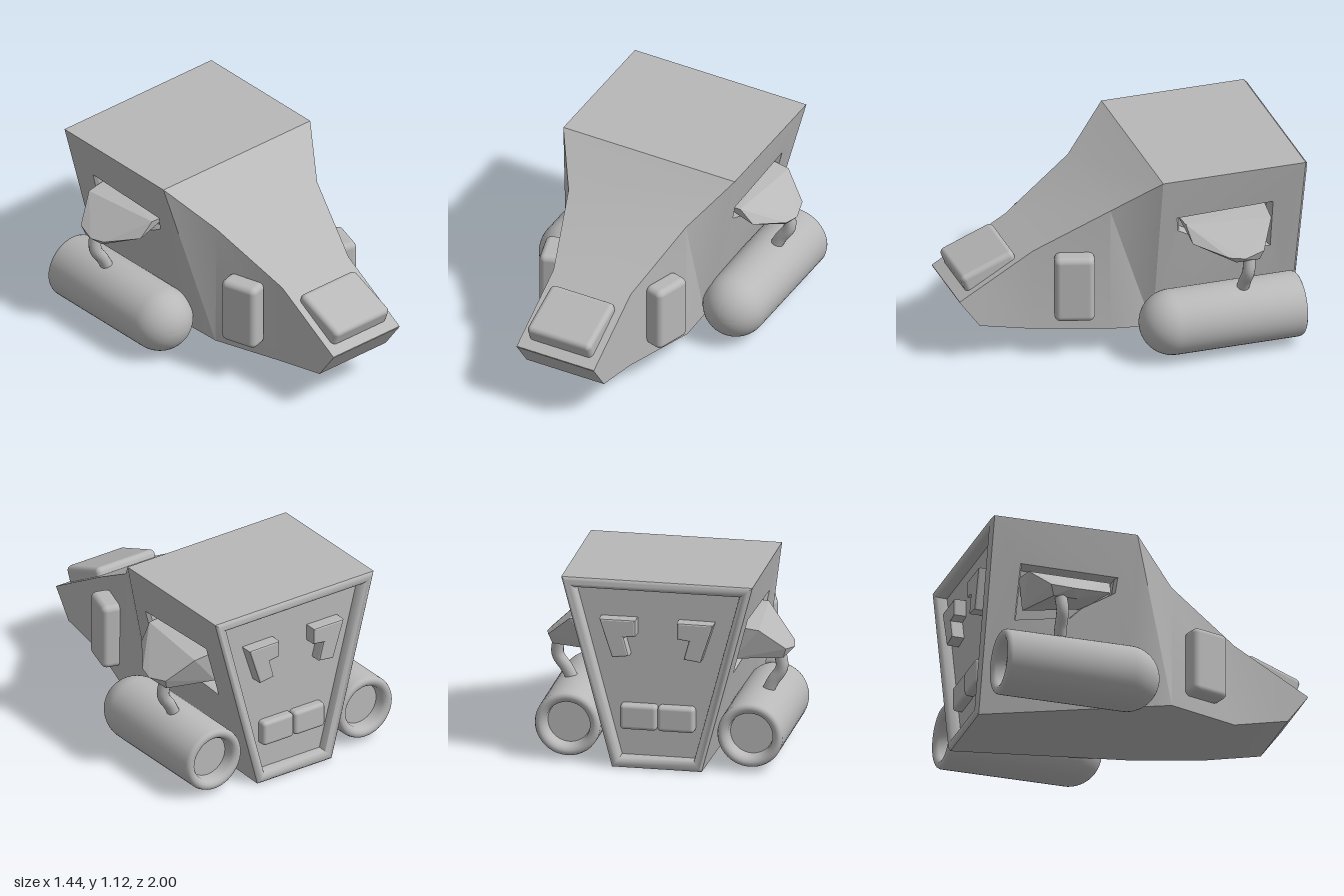
import * as THREE from 'three';
import { toCreasedNormals } from 'three/addons/utils/BufferGeometryUtils.js';
import { RoundedBoxGeometry } from 'three/addons/geometries/RoundedBoxGeometry.js';
import { ConvexGeometry } from 'three/addons/geometries/ConvexGeometry.js';

const hullGrey = new THREE.MeshStandardMaterial({ name: 'hullGrey', color: 0xb8b8b8, side: THREE.DoubleSide });
const BACK = -0.975, SHOULDER = -0.12;

function part(parent, name, geometry) {
  const mesh = new THREE.Mesh(geometry, hullGrey);
  mesh.name = name;
  parent.add(mesh);
  return mesh;
}

// Joins closed rings of points; skip(i, j) leaves a face open, cap closes the last ring
function loft(rings, { crease = 0.5, cap = false, skip = () => false } = {}) {
  const pos = [], n = rings[0].length;
  const tri = (...pts) => pts.forEach((p) => pos.push(...p));
  for (let i = 0; i < rings.length - 1; i++) {
    for (let j = 0; j < n; j++) {
      if (skip(i, j)) continue;
      const k = (j + 1) % n;
      const a = rings[i][j], b = rings[i][k], c = rings[i + 1][k], d = rings[i + 1][j];
      tri(a, b, c);
      tri(a, c, d);
    }
  }
  if (cap) {
    const last = rings[rings.length - 1];
    const mid = [0, 1, 2].map((axis) => last.reduce((s, p) => s + p[axis], 0) / n);
    for (let j = 0; j < n; j++) tri(mid, last[j], last[(j + 1) % n]);
  }
  const g = new THREE.BufferGeometry();
  g.setAttribute('position', new THREE.Float32BufferAttribute(pos, 3));
  g.computeVertexNormals();
  return toCreasedNormals(g, crease);
}

// x of the cabin's sloping side wall
function sideX(y, z) {
  const t = (SHOULDER - z) / (SHOULDER - BACK);
  const xb = 0.36 - 0.10 * t, yb = 0.123 * (1 - t);
  return 0.555 - ((1.12 - y) / (1.12 - yb)) * (0.555 - xb);
}

function buildSide() {
  const side = new THREE.Group();

  // Cabin wall with its window opening
  const opening = [[-0.22, 0.86], [-0.23, 0.77], [-0.42, 0.66], [-0.48, 0.60], [-0.81, 0.55], [-0.80, 0.87]];
  const wall = new THREE.Shape([[0.12, 1.12], [0.12, 0.123], [-BACK, 0], [-BACK, 1.12]]
    .map(([u, v]) => new THREE.Vector2(u, v)));
  wall.holes.push(new THREE.Path(opening.map(([z, y]) => new THREE.Vector2(-z, y))));
  const wallGeo = new THREE.ShapeGeometry(wall);
  const p = wallGeo.attributes.position;
  for (let i = 0; i < p.count; i++) {
    const z = -p.getX(i), y = p.getY(i);
    p.setXYZ(i, sideX(y, z), y, z);
  }
  wallGeo.computeVertexNormals();
  part(side, 'cabinWall', wallGeo);

  // Window pocket
  const pocketRing = (scale, depth) => opening.map(([z, y]) => {
    const zz = -0.55 + (z + 0.55) * scale, yy = 0.74 + (y - 0.74) * scale;
    return [sideX(yy, zz) - depth, yy, zz];
  });
  part(side, 'windowRecess', loft([pocketRing(1, 0), pocketRing(0.95, 0.02), pocketRing(0.95, 0.08)], { cap: true }));

  // Faceted pod standing out of the window
  const pod = [
    [0.40, 0.82, -0.26], [0.40, 0.82, -0.78], [0.40, 0.62, -0.76], [0.40, 0.68, -0.40],
    [0.51, 0.815, -0.27], [0.55, 0.80, -0.77], [0.58, 0.72, -0.29],
    [0.70, 0.66, -0.47], [0.72, 0.65, -0.56], [0.69, 0.67, -0.68],
    [0.67, 0.61, -0.52], [0.67, 0.61, -0.66],
  ].map((v) => new THREE.Vector3(...v));
  part(side, 'sidePod', new ConvexGeometry(pod));

  // Bent strut from pod to engine
  const bend = new THREE.CatmullRomCurve3([
    [0.565, 0.38, -0.59], [0.60, 0.45, -0.595], [0.65, 0.53, -0.60], [0.64, 0.64, -0.61],
  ].map((v) => new THREE.Vector3(...v)));
  part(side, 'strut', new THREE.TubeGeometry(bend, 20, 0.036, 14));

  // Engine: domed front, hollow rear
  const profile = [[0, 0.75], [0.12, 0.75], [0.13, 0.745], [0.137, 0.73], [0.14, 0.70]].length
    ? [[0, -0.86], [0.125, -0.86], [0.13, -0.915], [0.14, -0.93], [0.155, -0.94], [0.172, -0.94], [0.184, -0.932], [0.19, -0.915]]
    : [];
  for (let i = 0; i <= 16; i++) {
    const a = (i / 16) * Math.PI / 2;
    profile.push([0.19 * Math.cos(a), -0.18 + 0.19 * Math.sin(a)]);
  }
  const engineGeo = new THREE.LatheGeometry(profile.map(([r, h]) => new THREE.Vector2(Math.max(r, 0), h)), 48);
  engineGeo.rotateX(Math.PI / 2);
  part(side, 'engine', toCreasedNormals(engineGeo, 0.8)).position.set(0.53, 0.22, 0);

  // Rounded block on the nose flank
  const block = part(side, 'flankBlock', new RoundedBoxGeometry(0.125, 0.40, 0.23, 4, 0.035));
  block.position.set(0.365, 0.45, 0.35);
  block.rotation.y = -0.29;

  // Bent rear lamp with an outer leg
  const lamp = new THREE.Shape([[0.13, 0.88], [0.13, 0.80], [0.20, 0.79], [0.17, 0.68], [0.25, 0.67], [0.32, 0.88]]
    .map(([x, y]) => new THREE.Vector2(x, y)));
  const lampGeo = new THREE.ExtrudeGeometry(lamp, {
    depth: 0.06, bevelEnabled: true, bevelThickness: 0.012, bevelSize: 0.01, bevelSegments: 2,
  });
  part(side, 'rearLamp', lampGeo).position.z = -0.988;

  // Lower rear panel
  part(side, 'rearPanel', new RoundedBoxGeometry(0.215, 0.15, 0.09, 3, 0.022)).position.set(0.109, 0.30, -0.935);
  return side;
}

export function createModel() {
  const model = new THREE.Group();
  model.name = 'spacecraft';

  // Hull stations: z, top y, top half width, bottom y, bottom half width
  const stations = [
    [BACK, 1.12, 0.555, 0, 0.26],
    [SHOULDER, 1.12, 0.555, 0.123, 0.36],
    [0.14, 0.905, 0.38, 0.16, 0.39],
    [0.56, 0.656, 0.25, 0.16, 0.25],
    [0.88, 0.47, 0.25, 0.23, 0.25],
    [1.0, 0.40, 0.25, 0.395, 0.25],
  ];
  const rings = stations.map(([z, yt, xt, yb, xb]) => [[xb, yb, z], [xt, yt, z], [-xt, yt, z], [-xb, yb, z]]);
  part(model, 'hull', loft(rings, { cap: true, skip: (i, j) => i === 0 && j % 2 === 0 }));

  // Bevelled rear rim around a sunken panel
  const rimRing = ([inset, z]) => {
    const yb = inset, yt = 1.12 - inset;
    const xAt = (y) => 0.26 + 0.295 * (y / 1.12) - inset * 1.03;
    return [[-xAt(yb), yb, z], [-xAt(yt), yt, z], [xAt(yt), yt, z], [xAt(yb), yb, z]];
  };
  const rim = [[0, BACK], [0.014, -0.99], [0.04, -0.99], [0.058, -0.975], [0.064, -0.925]];
  part(model, 'rearFrame', loft(rim.map(rimRing), { crease: 0.85, cap: true }));

  // Rounded hatch lying on the nose
  const hatch = part(model, 'noseHatch', new RoundedBoxGeometry(0.41, 0.12, 0.34, 4, 0.03));
  hatch.position.set(0, 0.53, 0.80);
  hatch.rotation.x = 0.38;

  // Mirrored side assemblies
  for (const [name, s] of [['leftSide', 1], ['rightSide', -1]]) {
    const side = buildSide();
    side.name = name;
    side.scale.x = s;
    model.add(side);
  }
  return model;
}
